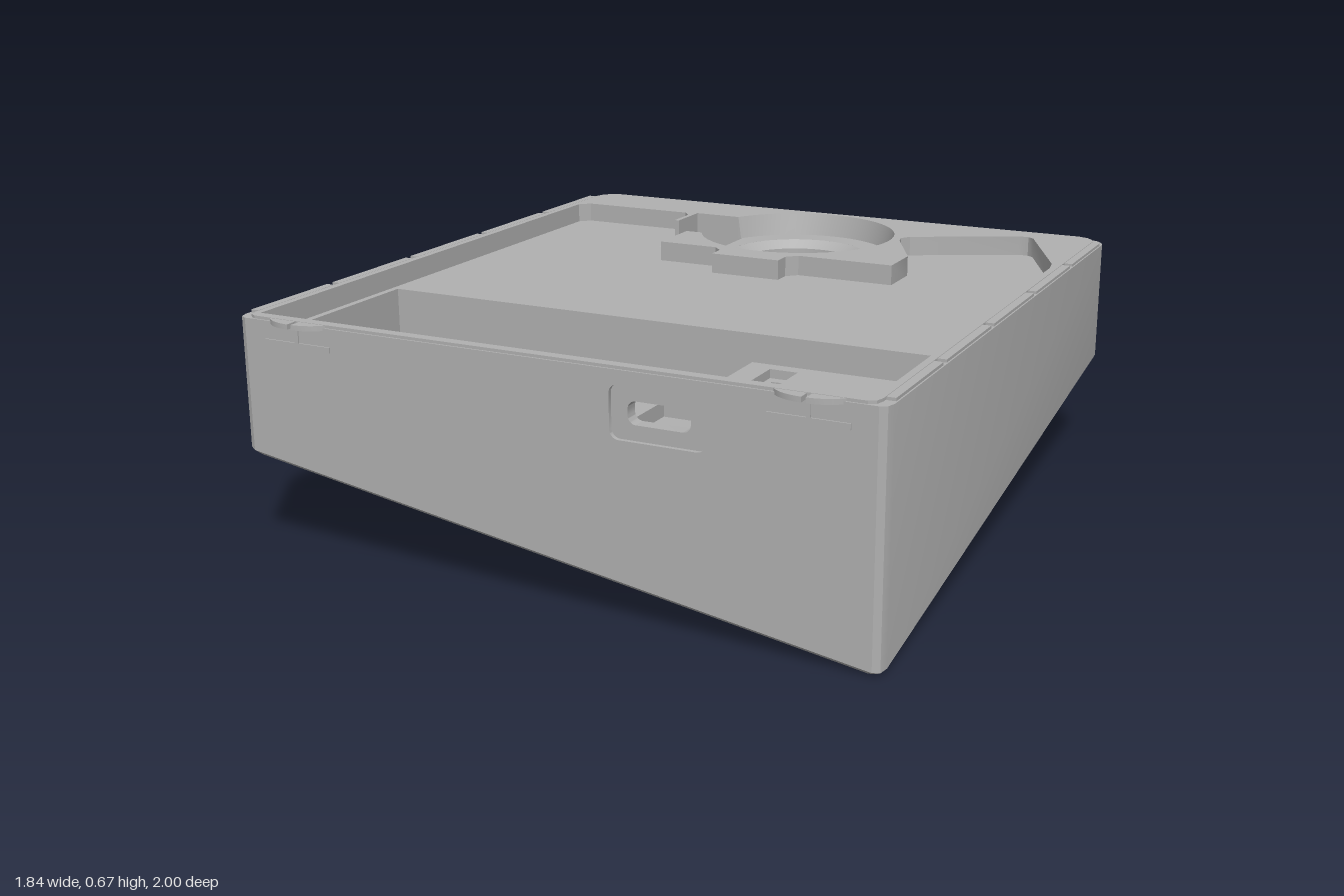
import * as THREE from 'three';
import { mergeGeometries, toCreasedNormals } from 'three/addons/utils/BufferGeometryUtils.js';

const TOP = 0.67, LEDGE = 0.662, MAIN = 0.61, RING = 0.6, SHELF = 0.53, POCKET = 0.45, HOLE = 0.43, CEIL = 0.42;
// slanted underside, falling towards the front +x corner
const under = (x, z) => 0.2885 - 0.157 * (x + z);
const V = (p) => new THREE.Vector2(p[0], p[1]);
const poly = (pts) => new THREE.Shape(pts.map(V));
const rect = (x0, z0, x1, z1) => [[x0, z0], [x1, z0], [x1, z1], [x0, z1]];
const at = (h, x, z) => (typeof h === 'function' ? h(x, z) : h);

// horizontal or slanted sheet over an (x, z) shape
function sheet(shape, h, holes = [], up = true) {
  shape.holes.push(...holes);
  const g = new THREE.ShapeGeometry(shape, 40).rotateX(Math.PI / 2);
  const p = g.attributes.position;
  for (let i = 0; i < p.count; i++) p.setY(i, at(h, p.getX(i), p.getZ(i)));
  if (up) g.index.array.reverse();
  const n = g.toNonIndexed();
  n.computeVertexNormals();
  return n;
}

// strip of quads between two paths of (x, z) points
function loft(a, ha, b, hb, closed = true) {
  const pos = [];
  const P = (q, h) => [q[0], at(h, q[0], q[1]), q[1]];
  for (let i = 0; i < a.length - (closed ? 0 : 1); i++) {
    const j = (i + 1) % a.length;
    const A = P(a[i], ha), B = P(a[j], ha), C = P(b[j], hb), D = P(b[i], hb);
    pos.push(...A, ...B, ...C, ...A, ...C, ...D);
  }
  const g = new THREE.BufferGeometry();
  g.setAttribute('position', new THREE.Float32BufferAttribute(pos, 3));
  g.computeVertexNormals();
  return g;
}
const wall = (path, h0, h1, closed = true) => loft(path, h0, path, h1, closed);

function roundRect(x0, y0, x1, y1, r) {
  const s = new THREE.Shape();
  s.absarc(x1 - r, y1 - r, r, 0, Math.PI / 2);
  s.absarc(x0 + r, y1 - r, r, Math.PI / 2, Math.PI);
  s.absarc(x0 + r, y0 + r, r, Math.PI, 1.5 * Math.PI);
  s.absarc(x1 - r, y0 + r, r, 1.5 * Math.PI, 2 * Math.PI);
  s.closePath();
  return s;
}
// vertical sheet facing the front
function upright(shape, z, holes = []) {
  shape.holes.push(...holes);
  return new THREE.ShapeGeometry(shape, 8).translate(0, 0, z).toNonIndexed();
}
// sides of an opening running along z
function sleeve(shape, z0, z1) {
  const pts = shape.getPoints(8).map((p) => [p.x, p.y]);
  return wall(pts, z0, z1).rotateX(Math.PI / 2).scale(1, -1, 1);
}

export function createModel() {
  const group = new THREE.Group();
  const grey = new THREE.MeshStandardMaterial({ color: 0xb0b0b0, side: THREE.DoubleSide });
  grey.name = 'plain grey';
  const add = (name, ...geos) => {
    const clean = geos.map((g) => {
      const n = g.index ? g.toNonIndexed() : g;
      n.deleteAttribute('uv');
      if (!n.attributes.normal) n.computeVertexNormals();
      return n;
    });
    const m = new THREE.Mesh(toCreasedNormals(mergeGeometries(clean), 0.5), grey);
    m.name = name;
    group.add(m);
  };

  // outer casing
  const half = [[0.895, 0.97], [0.913, 0.96], [0.92, 0.935], [0.92, -0.925], [0.912, -0.95], [0.893, -0.972], [0.86, -0.985]];
  const outline = [...half, ...half.map(([x, z]) => [-x, z]).reverse()];
  const inset = outline.map(([x, z]) => [x * 0.968, z * 0.995]);
  const foot = outline.map(([x, z]) => [x * 0.985, z * 0.985]);
  const low = (x, z) => under(x, z) + 0.015;
  add('outerWalls', wall(outline, low, LEDGE, false));
  add('bottomBevel', loft(outline, low, foot, under));
  add('topLedge', sheet(poly(outline), LEDGE, [poly(inset)]), wall(inset, LEDGE, TOP));

  // front wall with the recessed latch slot
  const grip = () => roundRect(0.205, 0.485, 0.465, 0.625, 0.025);
  const slot = () => roundRect(0.25, 0.525, 0.42, 0.585, 0.022);
  const face = [[-0.895, LEDGE], [-0.895, low(-0.895, 0.97)], [0.895, low(0.895, 0.97)], [0.895, LEDGE]];
  add('frontWall', upright(poly(face), 0.97, [grip()]));
  add('latchSlot', upright(grip(), 0.958, [slot()]), sleeve(grip(), 0.958, 0.97), sleeve(slot(), 0.92, 0.958));

  // recess edge, from the side notch round the tray and back to the bowl
  const edge = [
    [-0.33, -0.51], [-0.33, -0.33], [-0.14, -0.33], [-0.11, -0.3], [-0.11, -0.245], [0.11, -0.245], [0.11, -0.3],
    [0.14, -0.33], [0.44, -0.33], [0.44, -0.47], [0.34, -0.67], [0.33, -0.71], [0.35, -0.74], [0.66, -0.9],
    [0.69, -0.9], [0.71, -0.885], [0.86, -0.56], [0.87, -0.5], [0.87, 0.935], [-0.87, 0.935], [-0.87, -0.75],
    [-0.84, -0.78], [-0.47, -0.78], [-0.445, -0.75], [-0.445, -0.65], [-0.43, -0.65],
  ];
  const R = 0.31, cz = -0.65, a0 = Math.PI + 0.468, a1 = 3 * Math.PI - 0.468;
  const arc = [];
  for (let i = 0; i <= 48; i++) {
    const t = a0 + ((a1 - a0) * i) / 48;
    arc.push([R * Math.cos(t), cz + R * Math.sin(t)]);
  }
  add('topPlate', sheet(poly(inset), TOP, [poly([...edge, [-0.43, -0.79], ...arc])]));
  add('recessWalls', wall([arc[48], ...edge, [-0.43, -0.79], arc[0]], TOP, RING, false));

  // main tray
  const pocket = rect(-0.85, 0.35, 0.86, 0.92);
  add('mainTray', sheet(poly([...edge, [-0.43, -0.51]]), MAIN, [poly(pocket)]));

  // square notch beside the bowl
  const notch = rect(-0.43, -0.79, -0.26, -0.51);
  add('sideNotch', sheet(poly(notch), 0.55), wall(notch, 0.55, RING));

  // round bowl with a bevelled bore
  const bowl = new THREE.LatheGeometry([V([0.295, RING]), V([R, TOP])], 48, Math.PI / 2 - a1, a1 - a0).translate(0, 0, cz);
  const ring = new THREE.Shape();
  ring.absarc(0, cz, 0.295, Math.PI + 0.492, 3 * Math.PI - 0.492);
  ring.closePath();
  const bore = new THREE.Path();
  bore.absarc(0, cz, 0.22, 0, 2 * Math.PI);
  const shaft = new THREE.LatheGeometry([[0.19, HOLE], [0.19, 0.575], [0.22, RING]].map(V), 48).translate(0, 0, cz);
  const sp = shaft.attributes.position;
  for (let i = 0; i < sp.count; i++) sp.setY(i, Math.max(sp.getY(i), under(sp.getX(i), sp.getZ(i))));
  shaft.computeVertexNormals();
  add('bowl', bowl, sheet(ring, RING, [bore]));
  add('bore', shaft);
  const mid = 1.25 * Math.PI, open = 0.372;
  const boreFloor = new THREE.Shape();
  boreFloor.absarc(0, cz, 0.19, mid + open, mid - open + 2 * Math.PI);
  add('boreFloor', sheet(boreFloor, HOLE));

  // front pocket with a raised shelf
  const step = [[0.3, 0.35], [0.3, 0.61], [0.2, 0.61], [0.2, 0.92]];
  const dent = [[0.25, 0.92], [0.25, 0.77], [0.42, 0.77], [0.42, 0.92]];
  const sink = rect(0.37, 0.39, 0.45, 0.56), thru = rect(0.39, 0.42, 0.432, 0.535);
  add('pocketWalls', wall([pocket[2], pocket[1], pocket[0], pocket[3]], POCKET, MAIN, false),
    upright(poly(rect(-0.85, POCKET, 0.86, MAIN)), 0.92, [slot()]));
  add('pocketFloor', sheet(poly([[-0.85, 0.35], ...step, [-0.85, 0.92]]), POCKET));
  add('shelf', sheet(poly([...step, ...dent, [0.86, 0.92], [0.86, 0.35]]), SHELF, [poly(sink)]),
    wall(step, POCKET, SHELF, false));
  add('latchDent', sheet(poly(dent), 0.49), wall(dent, 0.49, SHELF, false));
  add('floorSlot', sheet(poly(sink), 0.505, [poly(thru)]), wall(sink, 0.505, SHELF), wall(thru, CEIL, 0.505));

  // underside rim and the cavity above it
  const k = (0.2885 - CEIL) / 0.157;
  const cavity = [[0.76, 0.81], [0.76, -0.83], [k + 0.83, -0.83], [-0.76, k + 0.76], [-0.76, 0.81]];
  const sliver = new THREE.Path();
  sliver.absarc(0, cz, 0.19, mid - open, mid + open);
  sliver.closePath();
  add('bottomRim', sheet(poly(foot), under, [poly(cavity), sliver], false));
  add('cavityWalls', wall(cavity, under, CEIL));
  add('cavityCeiling', sheet(poly(cavity), CEIL, [poly(thru)], false));

  const box = (w, h, d, x, y, z) => new THREE.BoxGeometry(w, h, d).translate(x, y, z);
  const cuts = [-0.92, -0.57, -0.19, 0.2, 0.58, 0.93];
  for (const s of [-1, 1]) {
    // broken edge strips
    for (let i = 0; i < 5; i++) {
      const len = cuts[i + 1] - cuts[i] - 0.025;
      add('edgeStrip', box(0.024, 0.008, len, s * 0.904, 0.666, (cuts[i] + cuts[i + 1]) / 2));
    }
    // split thumb tab, its stem and bar on the front
    for (const side of [-1, 1]) {
      const tab = new THREE.Shape();
      tab.moveTo(0.006, 0);
      tab.lineTo(0.09, 0);
      tab.quadraticCurveTo(0.06, 0.033, 0.006, 0.035);
      const g = new THREE.ExtrudeGeometry(tab, { depth: 0.014, bevelEnabled: false, curveSegments: 8 });
      g.rotateX(Math.PI / 2);
      if (side < 0) g.rotateZ(Math.PI);
      g.translate(s * 0.725, side < 0 ? 0.655 : 0.669, 0.965);
      add('thumbTab', g);
    }
    add('tabStem', box(0.012, 0.05, 0.008, s * 0.725, 0.635, 0.97));
    add('tabBar', box(0.21, 0.016, 0.008, s * 0.725, 0.605, 0.97));
    // hook and rib on the back
    const base = under(s * 0.73, -0.985) + 0.03;
    add('backHook', box(0.04, 0.02, 0.02, s * 0.73, 0.655, -0.99));
    add('backRib', box(0.02, 0.65 - base, 0.008, s * 0.73, (0.65 + base) / 2, -0.985));
  }
  return group;
}
